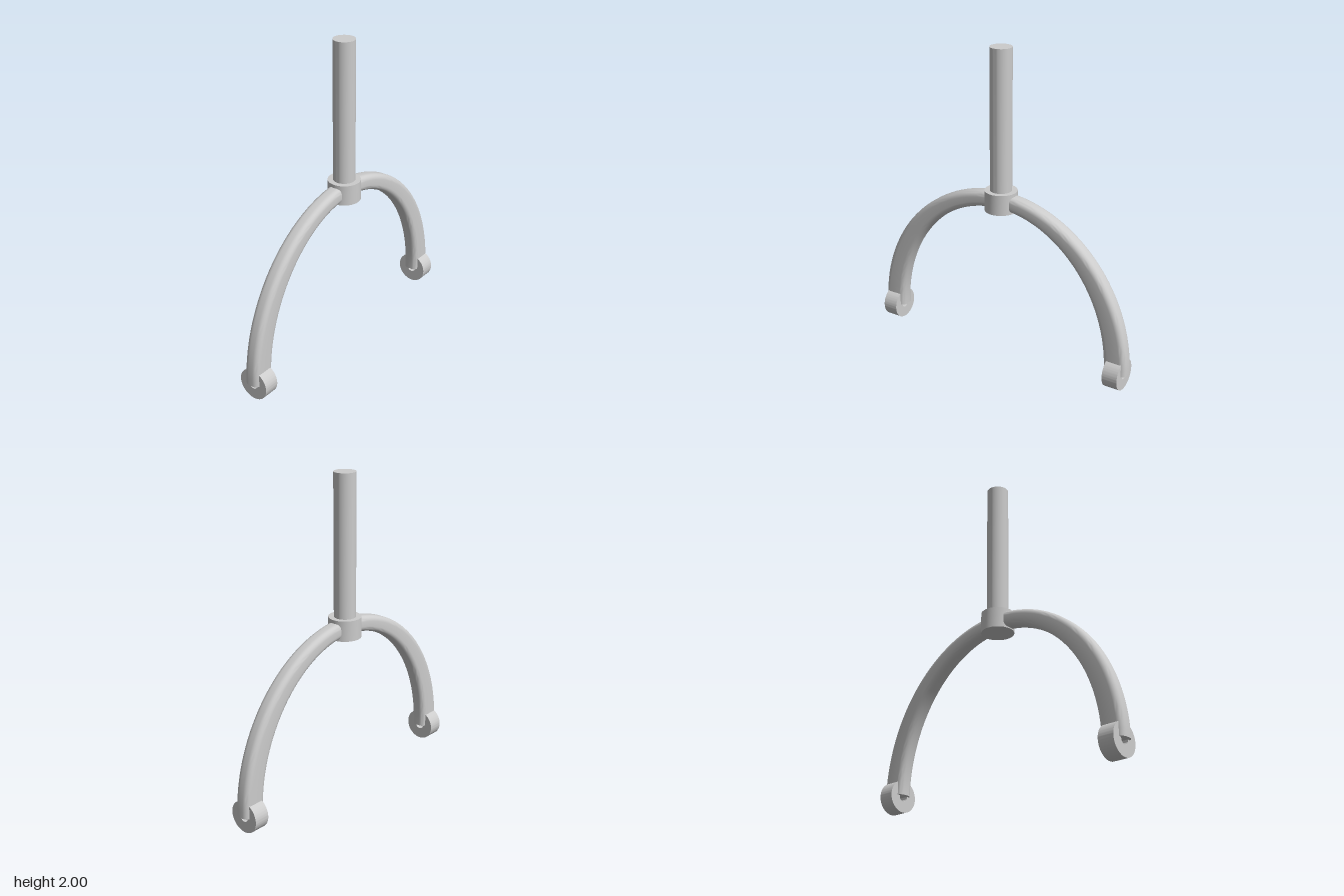
import * as THREE from 'three';
import { toCreasedNormals } from 'three/addons/utils/BufferGeometryUtils.js';

const material = new THREE.MeshStandardMaterial({ color: 0xcccccc });

function addMesh(group, name, geometry) {
  const mesh = new THREE.Mesh(toCreasedNormals(geometry, 0.6), material);
  mesh.name = name;
  group.add(mesh);
  return mesh;
}

// Rounded-rectangle section swept between an outer and an inner half ellipse
function archGeometry() {
  const steps = 72, cornerSteps = 6, base = 0.105;
  const halfDepth = 0.05, radius = 0.035;
  const positions = [], index = [];
  const ring = 4 * (cornerSteps + 1);

  for (let i = 0; i <= steps; i++) {
    const t = (i / steps) * Math.PI;
    const outer = new THREE.Vector2(0.91 * Math.cos(t), base + 0.99 * Math.sin(t));
    const inner = new THREE.Vector2(0.76 * Math.cos(t), base + 0.89 * Math.sin(t));
    const mid = outer.clone().add(inner).multiplyScalar(0.5);
    const half = outer.distanceTo(inner) / 2;
    const dir = outer.clone().sub(inner).normalize();
    for (let q = 0; q < 4; q++) {
      const sn = q === 0 || q === 3 ? 1 : -1;
      const sz = q < 2 ? 1 : -1;
      for (let k = 0; k <= cornerSteps; k++) {
        const a = (q + k / cornerSteps) * Math.PI / 2;
        const n = sn * (half - radius) + radius * Math.cos(a);
        const z = sz * (halfDepth - radius) + radius * Math.sin(a);
        positions.push(mid.x + dir.x * n, mid.y + dir.y * n, z);
      }
    }
  }
  for (let i = 0; i < steps; i++) {
    for (let j = 0; j < ring; j++) {
      const a = i * ring + j, b = i * ring + (j + 1) % ring;
      index.push(a, a + ring, b, b, a + ring, b + ring);
    }
  }
  // Flat feet
  const last = steps * ring;
  for (let j = 1; j < ring - 1; j++) {
    index.push(0, j, j + 1, last, last + j + 1, last + j);
  }
  const geometry = new THREE.BufferGeometry();
  geometry.setAttribute('position', new THREE.Float32BufferAttribute(positions, 3));
  geometry.setIndex(index);
  return geometry;
}

// Pierced disc with its axis along x
function eyeGeometry(outerRadius, holeRadius, width) {
  const shape = new THREE.Shape().absarc(0, 0, outerRadius, 0, Math.PI * 2);
  shape.holes.push(new THREE.Path().absarc(0, 0, holeRadius, 0, Math.PI * 2, true));
  return new THREE.ExtrudeGeometry(shape, { depth: width, bevelEnabled: false, curveSegments: 48 })
    .translate(0, 0, -width / 2)
    .rotateY(Math.PI / 2);
}

export function createModel() {
  const group = new THREE.Group();
  group.name = 'fork';

  addMesh(group, 'shaft', new THREE.CylinderGeometry(0.068, 0.068, 0.95, 48)).position.y = 1.525;
  addMesh(group, 'hub', new THREE.CylinderGeometry(0.102, 0.102, 0.13, 48)).position.y = 1.045;
  addMesh(group, 'arch', archGeometry());

  // Axle eyes at the two feet
  for (const side of [1, -1]) {
    const eye = addMesh(group, side > 0 ? 'leftEye' : 'rightEye', eyeGeometry(0.1, 0.03, 0.1));
    eye.position.set(side * 0.835, 0.1, 0);
  }
  return group;
}
